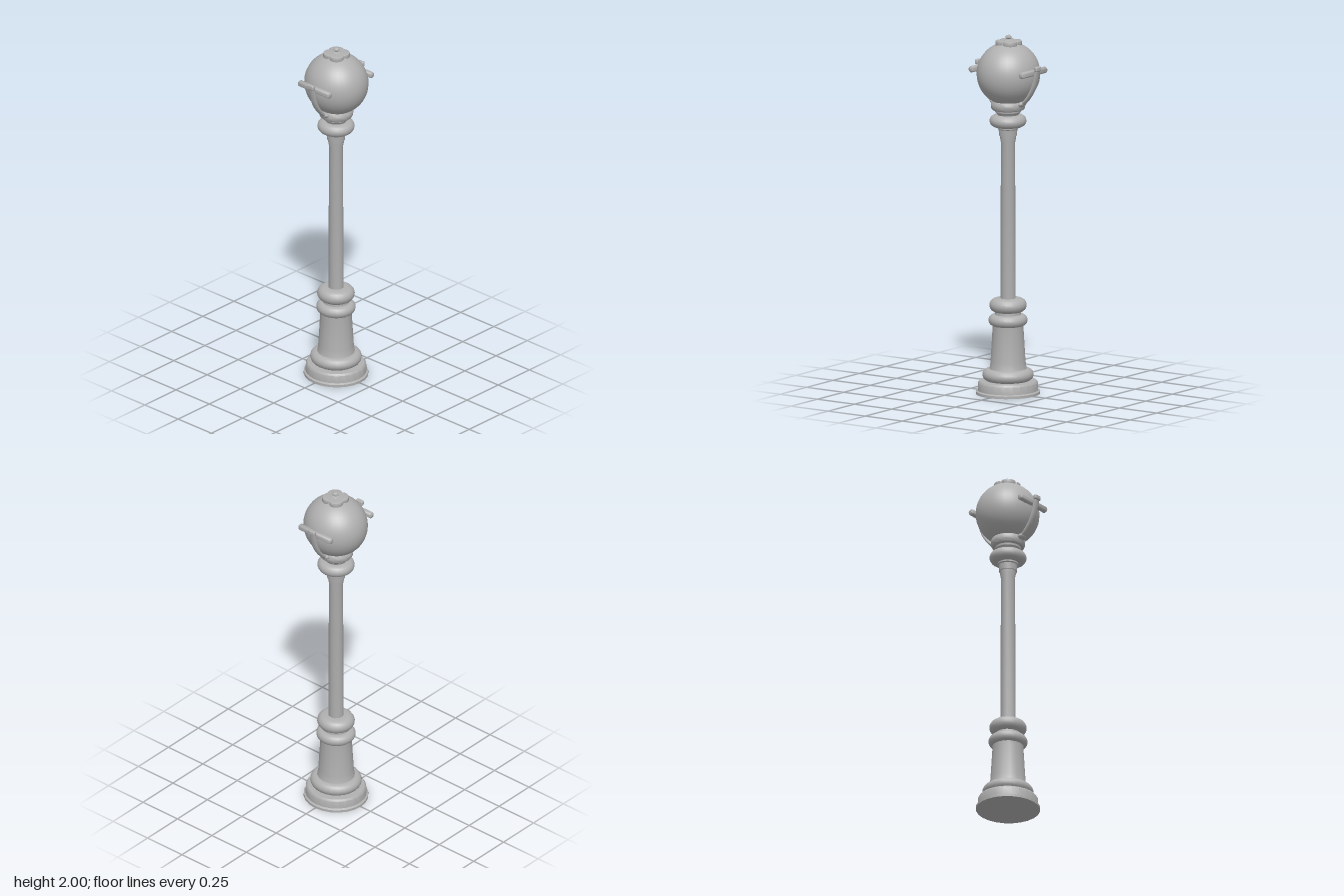
import * as THREE from 'three';
import { toCreasedNormals } from 'three/addons/utils/BufferGeometryUtils.js';
import { RoundedBoxGeometry } from 'three/addons/geometries/RoundedBoxGeometry.js';

export function createModel() {
  const model = new THREE.Group();
  model.name = 'streetLamp';
  const castGrey = new THREE.MeshStandardMaterial({ color: 0xb0b0b0 });
  castGrey.name = 'cast grey';

  const add = (name, geometry, parent = model) => {
    const mesh = new THREE.Mesh(geometry, castGrey);
    mesh.name = name;
    parent.add(mesh);
    return mesh;
  };

  // Turned part from [radius, height] pairs, bottom to top, slightly narrower in depth
  const turned = (name, profile, sides = 24, parent = model) => {
    const points = profile.map(([r, y]) => new THREE.Vector2(r, y));
    const geometry = new THREE.LatheGeometry(points, sides);
    geometry.scale(1, 1, 0.97);
    return add(name, toCreasedNormals(geometry, 0.65), parent);
  };

  // Rounded collar whose edge bulges from the inner to the outer radius
  const collar = (name, y0, y1, inner, outer) => {
    const profile = [[0, y0]];
    for (let i = 0; i <= 8; i++) {
      const a = (i / 8 - 0.5) * Math.PI;
      profile.push([inner + (outer - inner) * Math.cos(a), (y0 + y1) / 2 + ((y1 - y0) / 2) * Math.sin(a)]);
    }
    profile.push([0, y1]);
    return turned(name, profile);
  };

  // Base and pedestal
  turned('plinth', [[0, 0], [0.18, 0], [0.18, 0.014], [0.17, 0.02], [0.168, 0.062], [0.16, 0.072], [0, 0.076]]);
  collar('baseCollar', 0.072, 0.14, 0.108, 0.144);
  turned('pedestal', [[0.112, 0.12], [0.104, 0.145], [0.099, 0.18], [0.088, 0.36], [0.09, 0.395]], 16);
  collar('pedestalCollar', 0.378, 0.442, 0.078, 0.11);
  turned('pedestalNeck', [[0.075, 0.43], [0.072, 0.47]]);
  collar('columnCollar', 0.455, 0.532, 0.066, 0.105);

  // Column and capital
  turned('column', [[0.043, 0.5], [0.04, 1.4], [0.045, 1.425], [0.045, 1.46]], 12);
  turned('capital', [[0, 1.44], [0.05, 1.44], [0.053, 1.475], [0.058, 1.48], [0.058, 1.51]]);
  collar('capitalCollar', 1.488, 1.556, 0.068, 0.104);
  turned('globeNeck', [[0.055, 1.54], [0.06, 1.56], [0.072, 1.572], [0.075, 1.6]]);
  collar('globeSeat', 1.583, 1.637, 0.083, 0.097);

  // Globe
  const globe = add('globe', new THREE.SphereGeometry(0.181, 32, 24));
  globe.scale.set(1, 0.97, 0.95);
  globe.position.set(0, 1.786, -0.003);

  // Four-lobed cap and finial knob
  const outline = [];
  for (let i = 0; i < 48; i++) {
    const a = (i / 48) * Math.PI * 2;
    const r = 0.047 + 0.022 * Math.sqrt(Math.abs(Math.sin(2 * a)));
    outline.push(new THREE.Vector2(Math.cos(a) * r, Math.sin(a) * r));
  }
  const capGeometry = new THREE.ExtrudeGeometry(new THREE.Shape(outline), {
    depth: 0.02, bevelSize: 0.004, bevelThickness: 0.005, bevelSegments: 2,
  });
  capGeometry.rotateX(-Math.PI / 2);
  const cap = add('globeCap', toCreasedNormals(capGeometry, 0.7));
  cap.position.set(0, 1.946, -0.004);
  const finial = turned('finial', [[0.03, 1.968], [0.013, 1.977], [0.012, 1.981], [0.018, 1.986], [0.017, 1.994], [0.009, 2], [0, 2]], 10);
  finial.position.z = -0.004;

  // Curved bracket with its cross bar, on the front and the back
  for (const [side, turn] of [['front', 0], ['back', Math.PI]]) {
    const bracket = new THREE.Group();
    bracket.name = side + 'Bracket';
    bracket.rotation.y = turn;
    model.add(bracket);

    const path = new THREE.CatmullRomCurve3([
      [0.07, 1.612], [0.105, 1.63], [0.142, 1.67], [0.17, 1.72], [0.185, 1.77], [0.198, 1.835],
    ].map(([z, y]) => new THREE.Vector3(0, y, z)));
    const arm = add(side + 'Arm', new THREE.TubeGeometry(path, 24, 0.0105, 10), bracket);
    arm.scale.x = 2;

    const foot = add(side + 'ArmFoot', new THREE.SphereGeometry(0.03, 16, 10), bracket);
    foot.scale.set(1, 0.5, 0.9);
    foot.rotation.x = -0.5;
    foot.position.set(0, 1.622, 0.092);

    const head = add(side + 'ArmHead', new RoundedBoxGeometry(0.046, 0.028, 0.022, 3, 0.008), bracket);
    head.position.set(0, 1.831, 0.2);

    // Bar with softened ends
    const barPoints = [[0, -0.116], [0.013, -0.116], [0.018, -0.11], [0.018, 0.11], [0.013, 0.116], [0, 0.116]];
    const barGeometry = new THREE.LatheGeometry(barPoints.map(([r, y]) => new THREE.Vector2(r, y)), 14);
    barGeometry.rotateZ(Math.PI / 2);
    const bar = add(side + 'CrossBar', toCreasedNormals(barGeometry, 0.9), bracket);
    bar.position.set(0, 1.807, 0.169);
  }

  return model;
}
